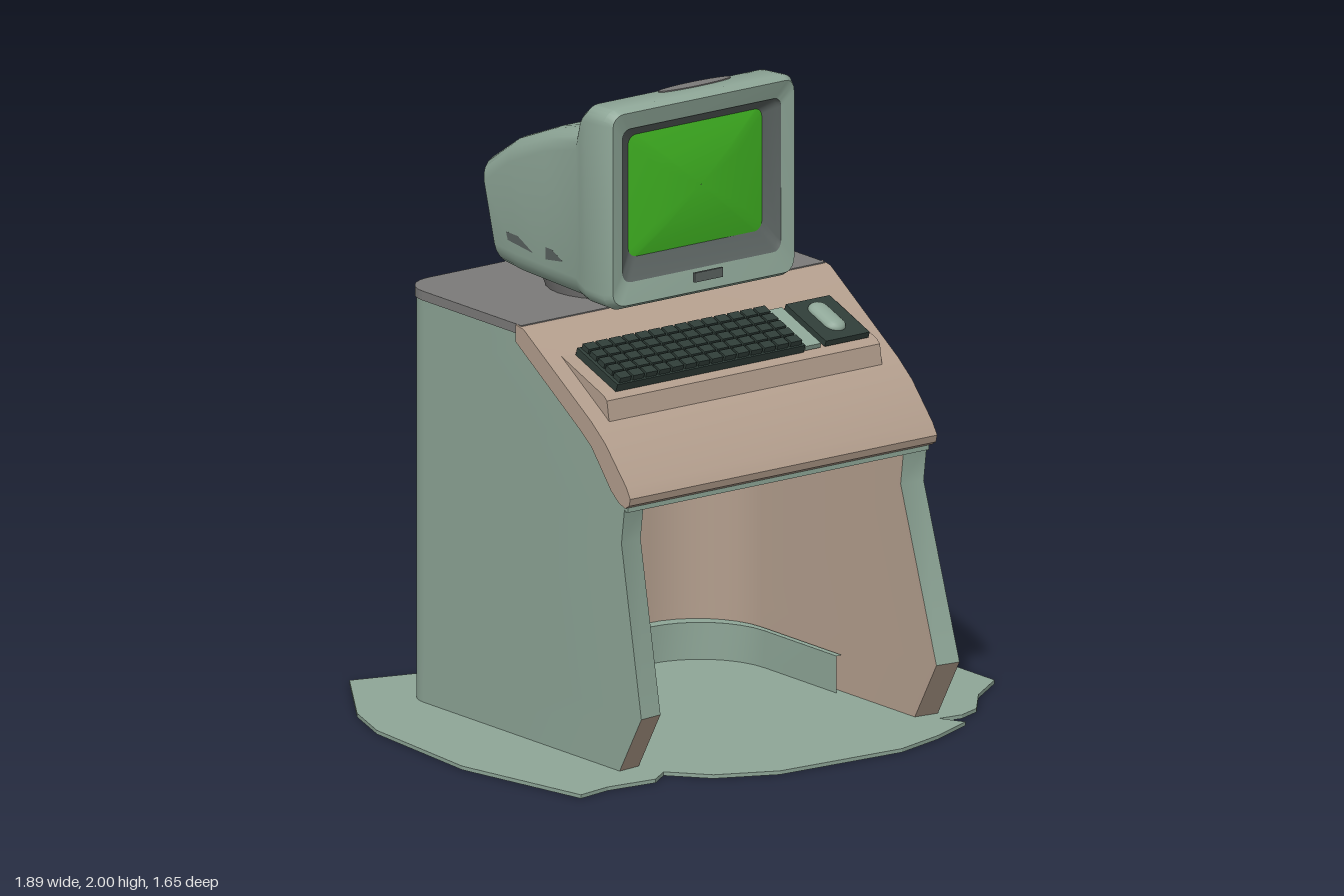
import * as THREE from 'three';
import { toCreasedNormals } from 'three/addons/utils/BufferGeometryUtils.js';

const mat = (name, color) => {
  const m = new THREE.MeshStandardMaterial({ color, side: THREE.DoubleSide });
  m.name = name;
  return m;
};
const CX = -0.015; // centre line of cabinet and monitor

// Surface through rows of points
function grid(rows, crease = 0.6) {
  const n = rows[0].length, idx = [];
  for (let i = 0; i < rows.length - 1; i++)
    for (let j = 0; j < n - 1; j++) {
      const a = i * n + j, d = a + n;
      idx.push(a, a + 1, d + 1, a, d + 1, d);
    }
  const g = new THREE.BufferGeometry();
  g.setAttribute('position', new THREE.Float32BufferAttribute(rows.flat(2), 3));
  g.setIndex(idx);
  return toCreasedNormals(g, crease);
}

// U-shaped plan line at height y: open at the front, rounded at the back
function uRow(y, hw, zBack, r, zRight, zLeft) {
  const half = [];
  for (let k = 0; k <= 8; k++) {
    const t = (k / 8) * Math.PI / 2;
    half.push([hw - r + r * Math.cos(t), y, zBack + r - r * Math.sin(t)]);
  }
  const a = [[hw, y, zRight], ...half];
  const b = [[-hw, y, zLeft], ...half.map(([x, v, z]) => [-x, v, z])].reverse();
  return [...a, ...b].map(([x, v, z]) => [x + CX, v, z]);
}

// Rounded-rectangle ring: [zBottom, zTop, halfWidth, yBottom, yTop, radius, bow]
function ring([zb, zt, hw, yb, yt, r, bow = 0]) {
  const pts = [], corners = [[1, yt, -1], [-1, yt, -1], [-1, yb, 1], [1, yb, 1]];
  corners.forEach(([sx, cy, sy], c) => {
    for (let k = 0; k <= 5; k++) {
      const t = (c + k / 5) * Math.PI / 2;
      const x = sx * (hw - r) + r * Math.cos(t);
      const y = cy + sy * r + r * Math.sin(t);
      pts.push([x + CX, y, zb + (zt - zb) * (y - yb) / (yt - yb) - bow * (x / 0.37) ** 2]);
    }
  });
  pts.push([...pts[0]]);
  return pts;
}

const shapeOf = pts => new THREE.Shape(pts.map(p => new THREE.Vector2(p[0], p[1])));

// Extrude a (z, y) profile across x
function across(profile, width, x) {
  const g = new THREE.ExtrudeGeometry(shapeOf(profile), { depth: width, bevelEnabled: false });
  g.translate(0, 0, -width / 2).rotateY(-Math.PI / 2).translate(x, 0, 0);
  return toCreasedNormals(g, 0.5);
}

// Extrude an (x, z) outline upwards from y
function slab(outline, y, h) {
  const g = new THREE.ExtrudeGeometry(shapeOf(outline.map(([x, z]) => [x, -z])), { depth: h, bevelEnabled: false });
  return g.rotateX(-Math.PI / 2).translate(0, y, 0);
}

export function createModel() {
  const model = new THREE.Group();
  const green = mat('sage green', 0x8ea697);
  const brown = mat('warm beige', 0xb39e8d);
  const grey = mat('top grey', 0x7b7a79);
  const darkGrey = mat('bezel grey', 0x59615f);
  const dark = mat('keyboard dark', 0x2f3d38);
  const glow = mat('screen green', 0x40b322);
  const add = (parent, name, geo, m, x = 0, y = 0, z = 0) => {
    const mesh = new THREE.Mesh(geo, m);
    mesh.name = name;
    mesh.position.set(x, y, z);
    parent.add(mesh);
    return mesh;
  };
  const box = (w, h, d) => new THREE.BoxGeometry(w, h, d);

  // Ragged floor sheet
  add(model, 'floorSheet', slab([
    [-0.95, 0.15], [-0.91, -0.33], [-0.84, -0.52], [-0.63, -0.83], [-0.4, -0.76], [-0.17, -0.7],
    [-0.1, -0.76], [0.07, -0.77], [0.38, -0.69], [0.6, -0.59], [0.82, -0.45], [0.88, -0.25],
    [0.94, 0.05], [0.94, 0.38], [0.8, 0.48], [0.7, 0.6], [0.62, 0.63], [0.54, 0.62], [0.58, 0.7],
    [0.42, 0.77], [0.24, 0.82], [-0.21, 0.79], [-0.4, 0.7], [-0.5, 0.58], [-0.57, 0.63],
    [-0.74, 0.61], [-0.86, 0.63]], 0, 0.012), green);

  // Cabinet shell: height and front edge of the side walls
  const cabinet = new THREE.Group();
  cabinet.name = 'cabinet';
  model.add(cabinet);
  const front = [[0.01, 0.57], [0.2, 0.68], [0.74, 0.5], [0.85, 0.515], [0.88, 0.48], [1.02, 0.36],
    [1.07, 0.29], [1.26, 0.01], [1.31, -0.03]];
  const leftZ = (y, z) => z - (y < 0.7 ? 0.08 : 0);
  const outer = front.map(([y, z]) => uRow(y, 0.587, -0.603, 0.11, z, leftZ(y, z)));
  const inner = front.slice(0, 4).map(([y, z]) => uRow(y, 0.505, -0.45, 0.25, z - 0.01, leftZ(y, z) - 0.01));
  add(cabinet, 'outerShell', grid(outer), green);
  add(cabinet, 'kneeSpaceLining', grid([...inner].reverse()), brown);

  // Front edges of the side walls, with beige toes
  const last = outer[0].length - 1;
  for (const [side, j] of [['left', 0], ['right', last]]) {
    const strip = (a, b) => {
      const rows = [];
      for (let i = a; i <= b; i++) rows.push(j ? [outer[i][j], inner[i][j]] : [inner[i][j], outer[i][j]]);
      return grid(rows);
    };
    add(cabinet, side + 'Toe', strip(0, 1), brown);
    add(cabinet, side + 'FrontEdge', strip(1, 3), green);
  }

  // Kick band around the back of the knee space
  add(cabinet, 'kickBand', grid([
    uRow(0.13, 0.5, -0.45, 0.25, 0.2, 0.2),
    uRow(0.13, 0.48, -0.41, 0.25, 0.2, 0.2),
    uRow(0.01, 0.48, -0.41, 0.25, 0.2, 0.2)]), green);
  add(cabinet, 'kneeSpaceCeiling', box(1.1, 0.02, 0.98), brown, CX, 0.86, 0);
  add(cabinet, 'consoleLip', box(1.17, 0.03, 0.07), green, CX, 0.86, 0.495);

  // Grey top plate with rounded back corners
  const plan = uRow(0, 0.59, -0.607, 0.11, 0, 0).map(p => [p[0], p[2]]);
  add(cabinet, 'topPlate', slab(plan, 1.295, 0.03), grey);

  // Sloping console panel
  add(cabinet, 'consolePanel', across([
    [-0.02, 1.325], [0.02, 1.318], [0.36, 1.1], [0.43, 1.045], [0.535, 0.93], [0.556, 0.895], [0.55, 0.872],
    [0.53, 0.86], [0.5, 0.87], [0.46, 0.9], [0.36, 1.02], [0.29, 1.07], [-0.02, 1.27]], 1.192, CX), brown);

  // Keyboard tray with its keyboard, divider and mouse
  add(model, 'keyboardTray', across([
    [0.372, 1.085], [0.36, 1.155], [0.345, 1.168], [0.09, 1.262], [0.06, 1.262], [0.06, 1.2]], 1.06, -0.02), brown);
  const desk = new THREE.Group();
  desk.name = 'keyboardSet';
  desk.position.set(0, 1.214, 0.23);
  desk.rotation.x = 0.345;
  model.add(desk);
  add(desk, 'keyboardBase', box(0.73, 0.026, 0.215), dark, -0.135, 0.01, 0.01);
  for (let r = 0; r < 5; r++)
    for (let c = 0; c < 14; c++)
      add(desk, 'key', box(0.043, 0.02, 0.034), dark, -0.135 + (c - 6.5) * 0.051, 0.03, 0.01 + (r - 2) * 0.042);
  add(desk, 'divider', box(0.06, 0.016, 0.21), green, 0.265, 0.008, 0.01);
  add(desk, 'mousePad', box(0.17, 0.02, 0.215), dark, 0.395, 0.012, 0.01);
  const mouse = add(desk, 'mouse', new THREE.CapsuleGeometry(0.036, 0.08, 6, 14), green, 0.395, 0.022, 0.005);
  mouse.rotation.x = Math.PI / 2;
  mouse.scale.z = 0.6;

  // Monitor: casing lofted from the back to the front frame
  const monitor = new THREE.Group();
  monitor.name = 'monitor';
  model.add(monitor);
  const frame = [0.165, 0.165, 0.308, 1.443, 1.933, 0.03, 0.03];
  const opening = [0.125, 0.125, 0.26, 1.51, 1.9, 0.03, 0.03];
  add(monitor, 'monitorCasing', grid([
    [-0.52, -0.53, 0.001, 1.53, 1.532, 0.0005],
    [-0.478, -0.568, 0.3, 1.39, 1.655, 0.05],
    [-0.458, -0.548, 0.325, 1.365, 1.692, 0.07],
    [-0.35, -0.4, 0.335, 1.36, 1.785, 0.07],
    [-0.2, -0.2, 0.345, 1.36, 1.865, 0.07],
    [-0.03, -0.03, 0.355, 1.36, 1.91, 0.07],
    [-0.005, -0.005, 0.36, 1.36, 1.97, 0.06],
    [0.03, 0.03, 0.365, 1.36, 1.993, 0.05],
    [0.165, 0.165, 0.368, 1.36, 2, 0.05, 0.04],
    [0.19, 0.19, 0.352, 1.375, 1.988, 0.04, 0.04],
    frame].map(ring)), green);
  add(monitor, 'screenBezel', grid([frame, [0.155, 0.155, 0.3, 1.455, 1.928, 0.03, 0.03], opening].map(ring), 0.4), darkGrey);
  add(monitor, 'screen', grid([opening, [0.138, 0.138, 0.15, 1.6, 1.81, 0.03, 0.03],
    [0.142, 0.142, 0.001, 1.705, 1.707, 0.0005]].map(ring)), glow);
  add(monitor, 'frontSlot', box(0.11, 0.03, 0.009), darkGrey, CX, 1.425, 0.176);

  // Handle recess on top and vents on both sides
  const recess = add(monitor, 'topRecess', new THREE.CylinderGeometry(0.14, 0.14, 0.008, 24), grey, 0.03, 1.995, 0.05);
  recess.scale.z = 0.16;
  for (const s of [1, -1]) {
    const vent = add(monitor, 'sideVent', across([[-0.1, 1.465], [-0.16, 1.49], [-0.41, 1.49], [-0.4, 1.465], [-0.2, 1.45]], 0.008, 0), darkGrey);
    vent.position.x = CX + s * 0.353;
    vent.rotation.y = s * 0.06;
  }

  // Swivel base
  const base = add(model, 'swivelBase', new THREE.CylinderGeometry(0.32, 0.3, 0.055, 32), darkGrey, 0.015, 1.342, -0.225);
  base.scale.z = 0.78;
  base.material = grey;

  return model;
}
